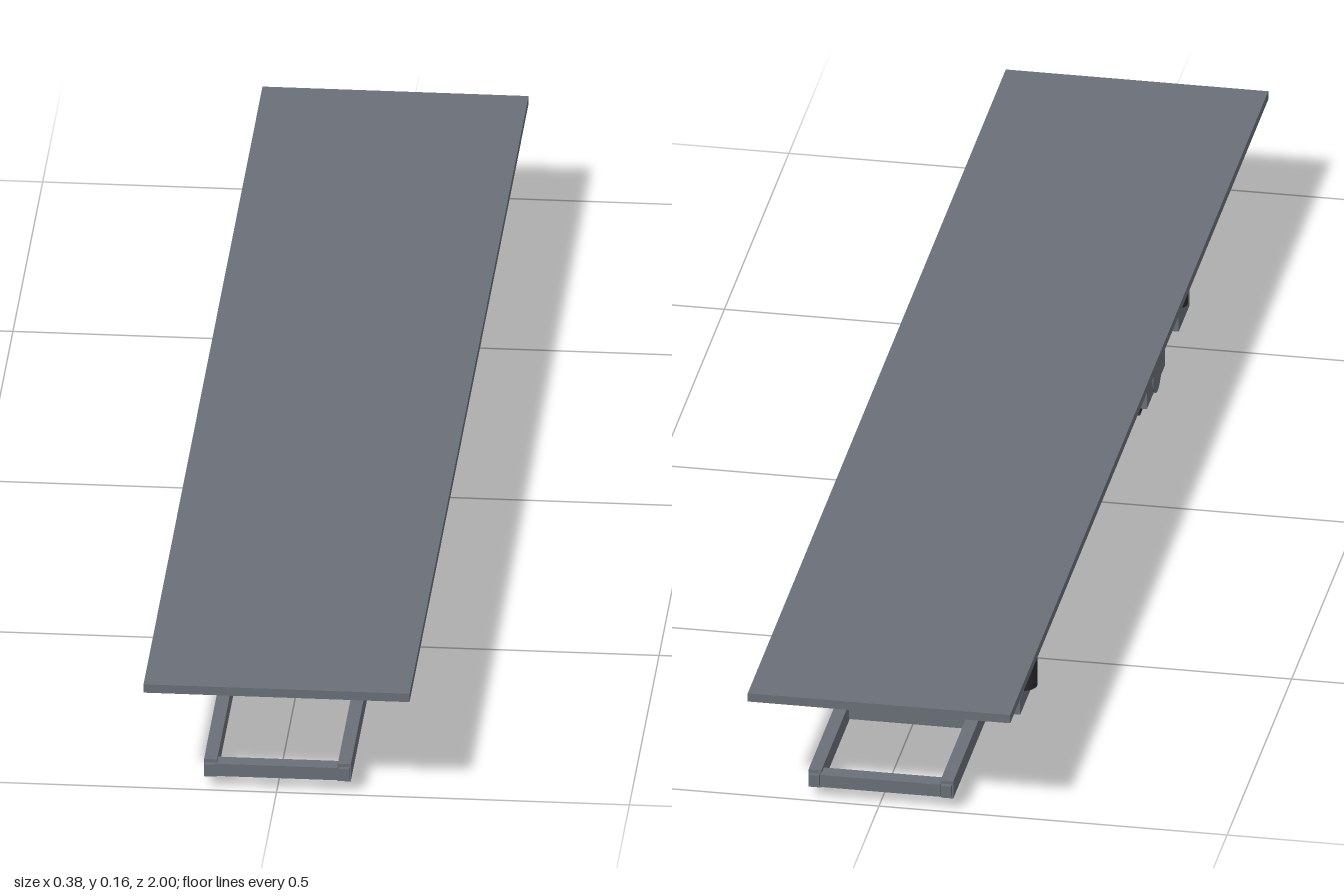
import * as THREE from 'three';

const mat = (color) => new THREE.MeshStandardMaterial({ color });

export function createModel() {
  const model = new THREE.Group();
  const slate = mat(0x6b7079), dark = mat(0x2c2c31), light = mat(0xb4b8ba), orange = mat(0xd08a1c);

  // box given by its extents along each axis
  const box = (name, m, x0, x1, y0, y1, z0, z1) => {
    const mesh = new THREE.Mesh(new THREE.BoxGeometry(x1 - x0, y1 - y0, z1 - z0), m);
    mesh.name = name;
    mesh.position.set((x0 + x1) / 2, (y0 + y1) / 2, (z0 + z1) / 2);
    model.add(mesh);
  };
  // the same box on both sides
  const pair = (name, m, x0, x1, ...rest) => {
    box(name, m, x0, x1, ...rest);
    box(name, m, -x1, -x0, ...rest);
  };
  const cylinder = (name, m, r, len, x, y, z, alongX) => {
    const mesh = new THREE.Mesh(new THREE.CylinderGeometry(r, r, len, 32), m);
    mesh.name = name;
    mesh.position.set(x, y, z);
    if (alongX) mesh.rotation.z = Math.PI / 2;
    model.add(mesh);
  };

  // floating deck
  box('deck', slate, -0.1885, 0.1885, 0.148, 0.161, -1, 1);

  // ladder frame
  pair('sideRail', slate, 0.0855, 0.104, 0.014, 0.041, -0.985, 0.985);
  for (const s of [-1, 1]) {
    const z = s * 0.977;
    box('endBeam', slate, -0.0855, 0.0855, 0.017, 0.036, z - 0.012, z + 0.012);
    pair('railCap', slate, 0.0875, 0.102, 0.019, 0.036, s * 0.985 - 0.007, s * 0.985 + 0.007);
  }
  for (const z of [0.65, 0.49, 0.35, -0.59, -0.76])
    box('crossMember', slate, -0.0855, 0.0855, 0.016, 0.036, z - 0.009, z + 0.009);
  box('crossMember', light, -0.0855, 0.0855, 0.014, 0.036, -0.455, -0.43);

  // underfloor pack with terminals at the rear
  box('pack', light, -0.135, 0.135, 0.004, 0.03, -0.385, 0.285);
  pair('terminal', orange, 0.115, 0.13, 0.015, 0.027, -0.42, -0.385);
  for (const z of [-0.2, 0.05, 0.25])
    box('packStrap', slate, -0.0855, 0.0855, 0.03, 0.036, z - 0.012, z + 0.012);

  // side brackets
  pair('frontBracket', slate, 0.1, 0.148, 0.012, 0.037, 0.524, 0.606);
  pair('middleBracket', slate, 0.1, 0.148, 0.011, 0.045, 0.278, 0.417);
  pair('rearBracket', slate, 0.1, 0.148, 0.012, 0.036, -0.704, -0.606);
  pair('skidPlate', dark, 0.0615, 0.138, 0, 0.01, 0.278, 0.417);

  // posts and drive drums
  for (const s of [-1, 1]) {
    cylinder('frontPost', dark, 0.022, 0.049, s * 0.131, 0.0595, 0.567);
    cylinder('middlePost', dark, 0.021, 0.044, s * 0.126, 0.066, 0.383);
    cylinder('middlePost', dark, 0.021, 0.044, s * 0.126, 0.066, 0.312);
    cylinder('rearPost', dark, 0.022, 0.045, s * 0.141, 0.0565, -0.652);
    cylinder('driveDrum', slate, 0.033, 0.088, s * 0.1065, 0.039, 0.348, true);
  }

  return model;
}
